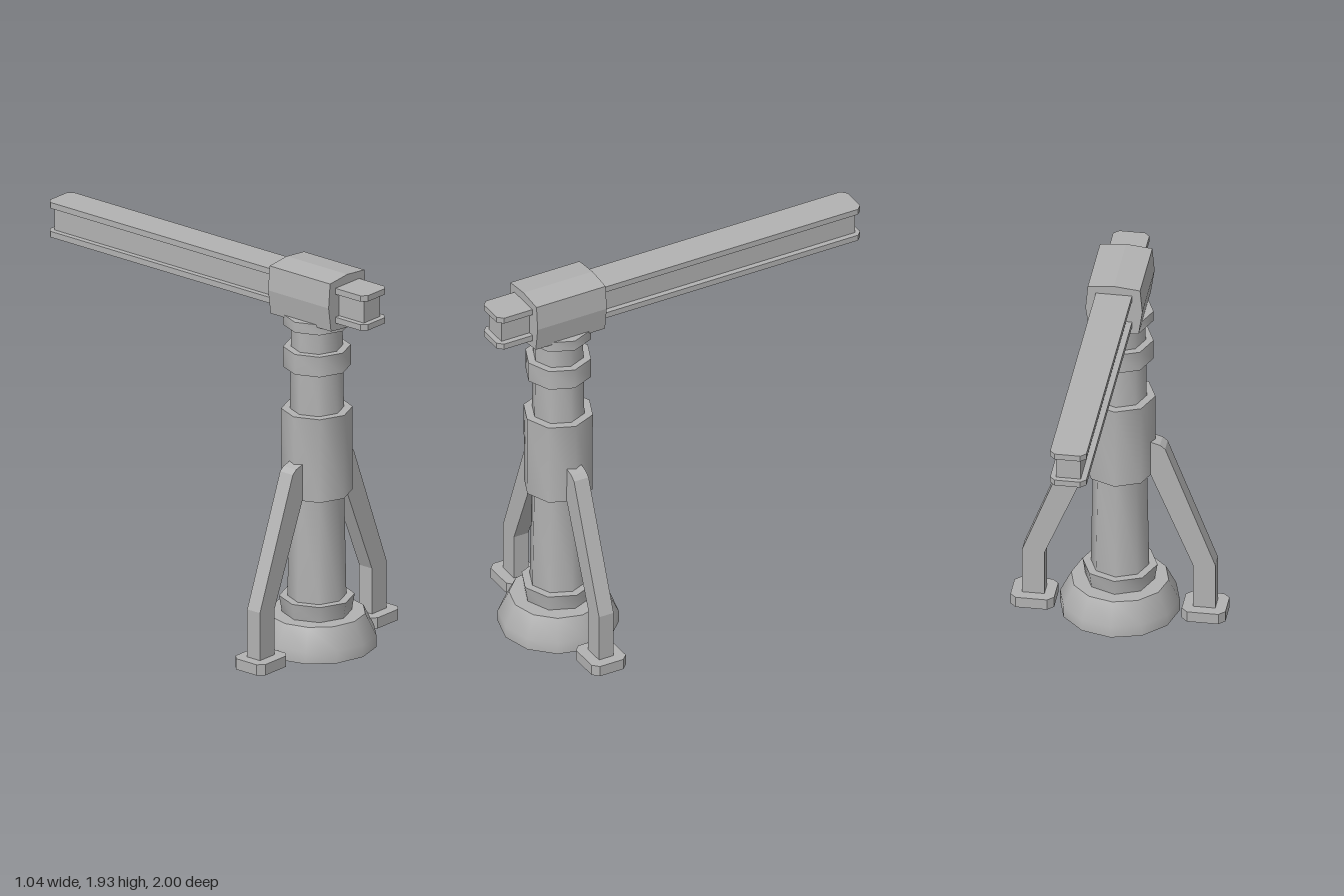
import * as THREE from 'three';
import { toCreasedNormals } from 'three/addons/utils/BufferGeometryUtils.js';

const Z = 0.626; // column axis

export function createModel() {
  const model = new THREE.Group();
  model.name = 'beamStand';
  const grey = new THREE.MeshStandardMaterial({ color: 0xb2b2b2 });
  grey.name = 'plainGrey';

  const add = (name, geometry, x = 0, y = 0, z = 0) => {
    const mesh = new THREE.Mesh(geometry, grey);
    mesh.name = name;
    mesh.position.set(x, y, z);
    model.add(mesh);
    return mesh;
  };

  const extrude = (points, depth) => new THREE.ExtrudeGeometry(
    new THREE.Shape(points.map(([x, y]) => new THREE.Vector2(x, y))),
    { depth, bevelEnabled: false });

  // Horizontal plate with cut corners, standing on y = 0
  const plate = (w, d, h, c) => {
    const x = w / 2, z = d / 2;
    return extrude([[-x + c, -z], [x - c, -z], [x, -z + c], [x, z - c],
      [x - c, z], [-x + c, z], [-x, z - c], [-x, -z + c]], h).rotateX(-Math.PI / 2);
  };

  // Turned column sections: smooth sides, sharp rims
  const turned = (name, profile, sides) => {
    const pts = profile.map(([r, y]) => new THREE.Vector2(r, y));
    pts.unshift(new THREE.Vector2(0, profile[0][1]));
    pts.push(new THREE.Vector2(0, profile.at(-1)[1]));
    add(name, toCreasedNormals(new THREE.LatheGeometry(pts, sides), 0.9), 0, 0, Z);
  };
  turned('base', [[0.29, 0], [0.29, 0.06], [0.236, 0.168]], 12);
  turned('baseCollar', [[0.167, 0.16], [0.182, 0.25]], 8);
  turned('lowerColumn', [[0.142, 0.24], [0.131, 0.79]], 8);
  turned('sleeve', [[0.17, 0.782], [0.172, 1.208]], 8);
  turned('upperColumn', [[0.13, 1.2], [0.123, 1.66]], 8);
  turned('ring', [[0.163, 1.422], [0.163, 1.525]], 8);
  turned('topCollar', [[0.163, 1.637], [0.163, 1.69]], 8);

  // Clamp block with slightly bulging faces
  add('clampBlock', extrude([[-0.12, 1.677], [0, 1.664], [0.12, 1.677], [0.138, 1.8],
    [0.127, 1.922], [0, 1.935], [-0.127, 1.922], [-0.138, 1.8]], 0.38), 0, 0, 0.437);

  // I-beam
  add('beamWeb', new THREE.BoxGeometry(0.12, 0.13, 1.944), 0, 1.8, 0);
  add('lowerFlange', plate(0.176, 2, 0.03, 0.026), 0, 1.711, 0);
  add('upperFlange', plate(0.176, 2, 0.03, 0.026), 0, 1.859, 0);

  // Bent struts and feet, mirrored left and right
  for (const [side, s] of [['left', 1], ['right', -1]]) {
    const outline = [[0.468, 0.04], [0.468, 0.298], [0.225, 0.935], [0.2, 0.955],
      [0.155, 0.968], [0.13, 0.968], [0.13, 0.782], [0.155, 0.782], [0.36, 0.288], [0.36, 0.04]];
    add(side + 'Strut', extrude(outline.map(([x, y]) => [s * x, y]), 0.08), 0, 0, Z - 0.04);
    add(side + 'Foot', plate(0.212, 0.188, 0.055, 0.03), s * 0.415, 0, Z);
  }
  return model;
}
